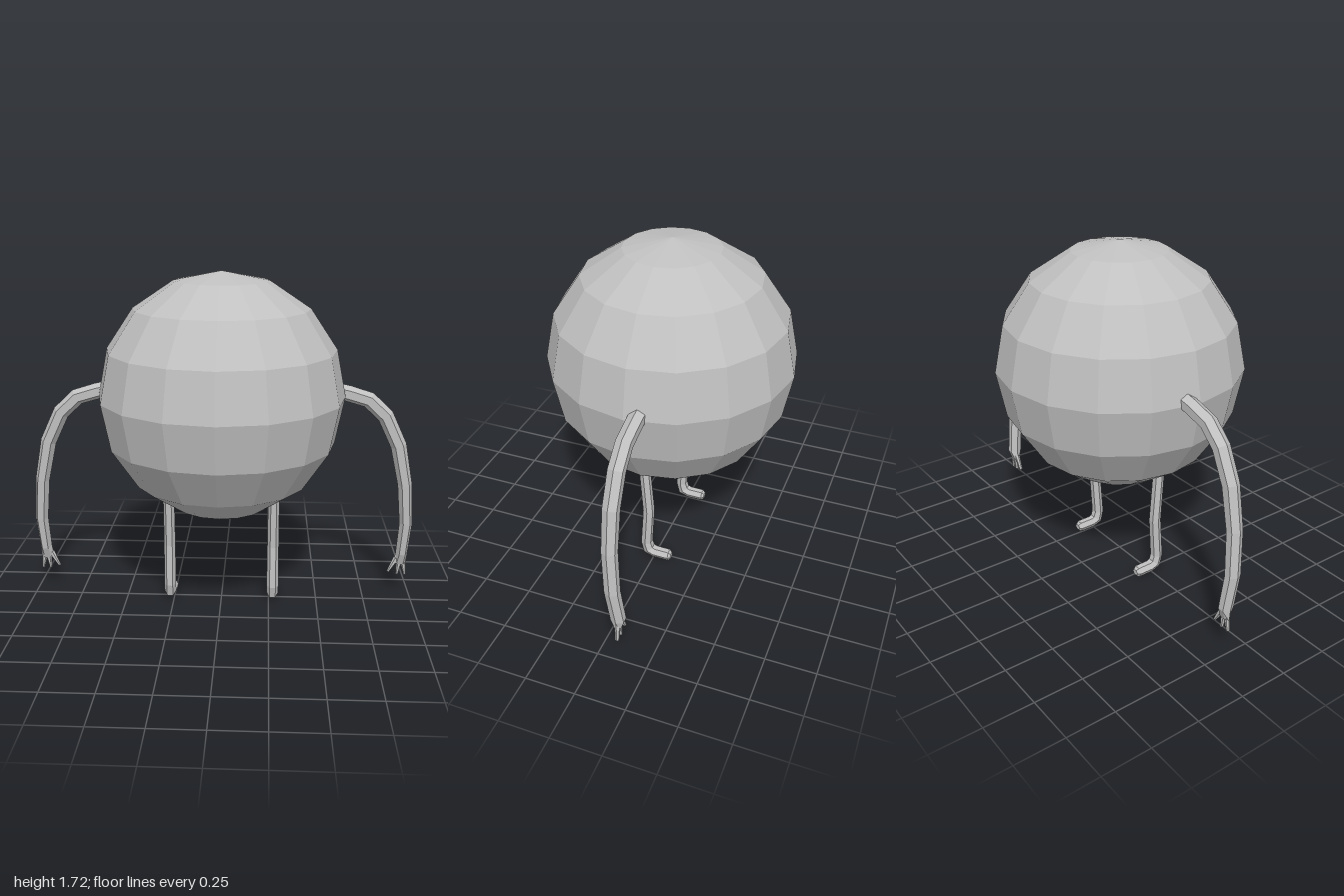
import * as THREE from 'three';

// Six-sided limb lofted along a path. Each section is [x, y, z, ru, rv]:
// ru is the radius along the fixed axis, rv the radius across it.
function limb(name, sections, axis, turn, material) {
  const SIDES = 6;
  const centres = sections.map(s => new THREE.Vector3(s[0], s[1], s[2]));
  const last = centres.length - 1;
  const rings = sections.map(([, , , ru, rv = ru], i) => {
    const before = centres[i].clone().sub(centres[Math.max(i - 1, 0)]).normalize();
    const after = centres[Math.min(i + 1, last)].clone().sub(centres[i]).normalize();
    const across = before.add(after).cross(axis).normalize();
    return Array.from({ length: SIDES }, (_, k) => {
      const a = turn + (k / SIDES) * Math.PI * 2;
      return centres[i].clone()
        .addScaledVector(axis, ru * Math.cos(a))
        .addScaledVector(across, rv * Math.sin(a));
    });
  });
  const pos = [];
  const tri = (...corners) => corners.forEach(p => pos.push(p.x, p.y, p.z));
  for (let k = 0; k < SIDES; k++) {
    const n = (k + 1) % SIDES;
    for (let i = 0; i < last; i++) {
      const a = rings[i], b = rings[i + 1];
      tri(a[k], a[n], b[k]);
      tri(a[n], b[n], b[k]);
    }
    tri(centres[0], rings[0][n], rings[0][k]);
    tri(centres[last], rings[last][k], rings[last][n]);
  }
  const geometry = new THREE.BufferGeometry();
  geometry.setAttribute('position', new THREE.Float32BufferAttribute(pos, 3));
  geometry.computeVertexNormals();
  const mesh = new THREE.Mesh(geometry, material);
  mesh.name = name;
  return mesh;
}

export function createModel() {
  const model = new THREE.Group();
  model.name = 'roundCreature';
  const grey = new THREE.MeshStandardMaterial({ color: 0xc0c0c0, flatShading: true });
  grey.name = 'plain grey';
  const X = new THREE.Vector3(1, 0, 0), Z = new THREE.Vector3(0, 0, 1);

  // Round body
  const body = new THREE.Mesh(new THREE.SphereGeometry(0.62, 16, 8), grey);
  body.name = 'body';
  body.position.y = 1.097;
  model.add(body);

  // Drooping arm, ending in a palm flattened in z
  const arm = [
    [0.58, 1.113, -0.06, 0.042],
    [0.64, 1.1, -0.06, 0.042],
    [0.745, 1.068, -0.06, 0.042],
    [0.832, 0.985, -0.06, 0.042],
    [0.905, 0.83, -0.06, 0.041],
    [0.948, 0.62, -0.063, 0.039, 0.037],
    [0.966, 0.4, -0.076, 0.039, 0.034],
    [0.955, 0.225, -0.095, 0.039, 0.031],
    [0.948, 0.165, -0.095, 0.014, 0.034],
  ];
  // Finger roots and tips: x, y
  const fingers = [
    [0.93, 0.195, 0.888, 0.118],
    [0.948, 0.19, 0.936, 0.105],
    [0.964, 0.195, 0.977, 0.105],
  ];
  // Thin leg with the foot bent towards the back
  const leg = [
    [0.27, 0.57, 0.047, 0.029],
    [0.27, 0.3, 0.028, 0.03],
    [0.27, 0.085, 0.042, 0.031],
    [0.27, 0.04, 0.03, 0.031, 0.036],
    [0.27, 0.027, -0.002, 0.031, 0.031],
    [0.27, 0.026, -0.083, 0.031, 0.03],
    [0.27, 0.026, -0.096, 0.02, 0.016],
  ];

  for (const [side, label] of [[1, 'left'], [-1, 'right']]) {
    const mirror = list => list.map(([x, ...rest]) => [side * x, ...rest]);
    model.add(limb(label + 'Arm', mirror(arm), Z, Math.PI / 6, grey));
    model.add(limb(label + 'Leg', mirror(leg), X, 0, grey));
    fingers.forEach(([x0, y0, x1, y1], i) => {
      const path = [[x0, y0, -0.095, 0.015, 0.017], [x1, y1, -0.095, 0.01, 0.007]];
      model.add(limb(label + 'Finger' + (i + 1), mirror(path), Z, Math.PI / 6, grey));
    });
  }
  return model;
}
